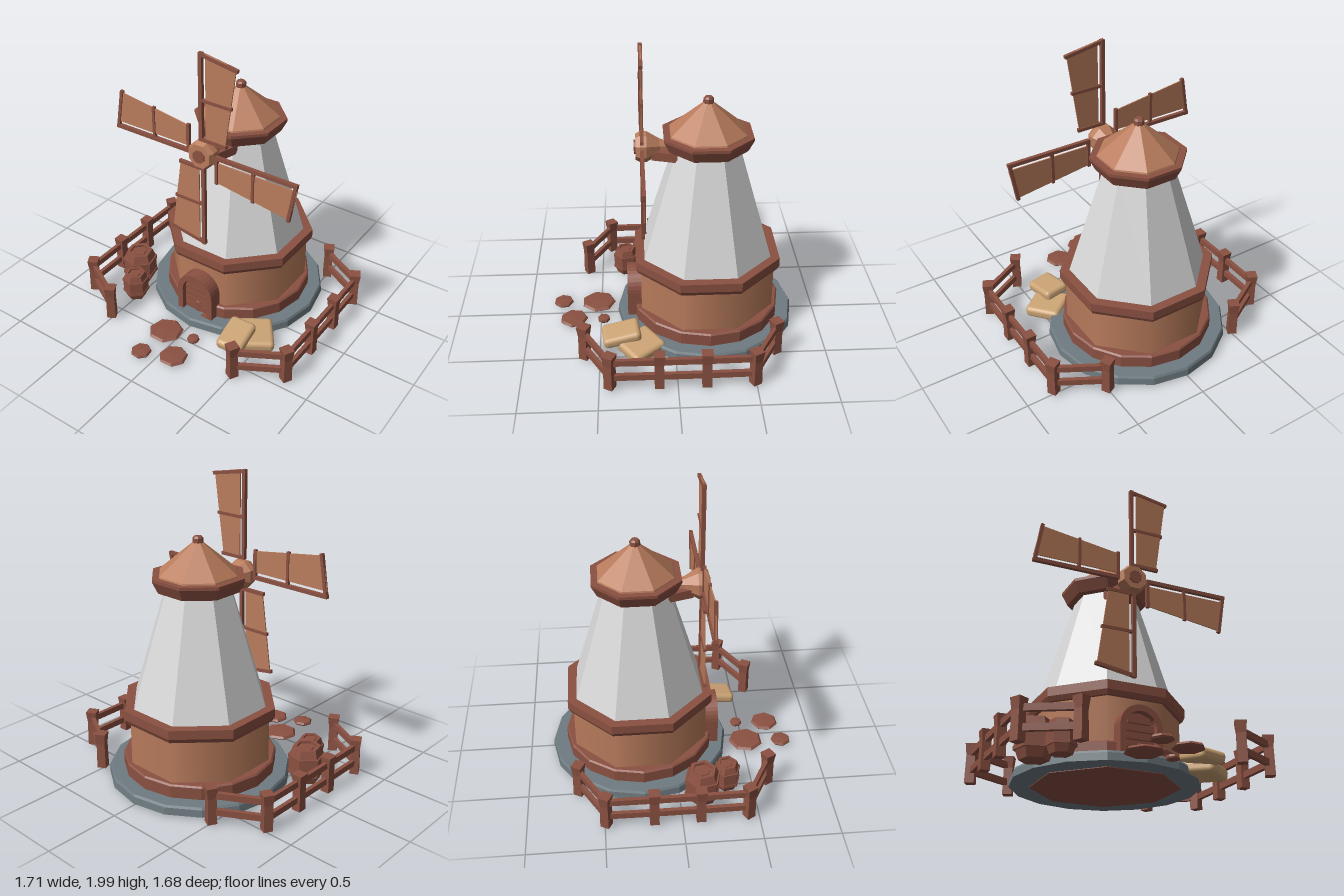
import * as THREE from 'three';
import { RoundedBoxGeometry } from 'three/addons/geometries/RoundedBoxGeometry.js';

const paint = (name, color) => {
  const m = new THREE.MeshStandardMaterial({ color });
  m.name = name;
  return m;
};

export function createModel() {
  const lightWood = paint('lightWood', 0xb97c5c);
  const darkWood = paint('darkWood', 0x8b5142);
  const stone = paint('stone', 0x6f7c82);
  const plaster = paint('plaster', 0xd9d9d9);
  const sackcloth = paint('sackcloth', 0xcca475);

  const model = new THREE.Group();
  model.name = 'windmill';

  const group = (name, parent = model) => {
    const g = new THREE.Group();
    g.name = name;
    parent.add(g);
    return g;
  };
  const add = (parent, name, geometry, material) => {
    const m = new THREE.Mesh(geometry, material);
    m.name = name;
    parent.add(m);
    return m;
  };
  // Solid of revolution; profile runs bottom to top as [radius, y]
  const turned = (profile, sides, turn = 0) =>
    new THREE.LatheGeometry(profile.map(([r, y]) => new THREE.Vector2(r, y)), sides, turn);
  const facet = (profile, sides, turn) => {
    const g = turned(profile, sides, turn).toNonIndexed();
    g.computeVertexNormals();
    return g;
  };
  // Octagon with flat sides forward; profile given as distance to the flats
  const octagon = (profile, make = facet) =>
    make(profile.map(([r, y]) => [r / Math.cos(Math.PI / 8), y]), 8, Math.PI / 8);
  const polygon = (points) => new THREE.Shape(points.map(([x, y]) => new THREE.Vector2(x, y)));
  const slab = (shape, depth) =>
    new THREE.ExtrudeGeometry(shape, { depth, bevelEnabled: false, curveSegments: 8 });
  // Beam between two points, aimed in its parent's own space
  const beam = (parent, name, a, b, w, h) => {
    const p = new THREE.Vector3(...a), q = new THREE.Vector3(...b);
    const m = new THREE.Mesh(new THREE.BoxGeometry(w, h, p.distanceTo(q)), darkWood);
    m.name = name;
    m.position.copy(p).lerp(q, 0.5);
    m.lookAt(q);
    parent.add(m);
  };

  // Tower
  const tower = group('tower');
  tower.position.z = -0.23;
  add(tower, 'stoneBase', facet([[0, 0.022], [0.61, 0.022], [0.606, 0.07], [0.597, 0.085], [0, 0.085]], 16), stone);
  add(tower, 'plinth', facet([[0.42, 0.08], [0.51, 0.08], [0.51, 0.165], [0.5, 0.175], [0.42, 0.175]], 16), darkWood);
  add(tower, 'floor', octagon([[0, 0.018], [0.445, 0.018], [0.445, 0.08]]), darkWood);
  add(tower, 'lowerWall', octagon([[0.445, 0.08], [0.445, 0.5]], turned), lightWood);
  add(tower, 'wallRing', octagon([[0.4, 0.465], [0.465, 0.465], [0.48, 0.495], [0.48, 0.555], [0.4, 0.555]]), darkWood);
  add(tower, 'plasterCone', octagon([[0.425, 0.54], [0.2, 1.33]]), plaster);
  add(tower, 'roofRing', octagon([[0, 1.31], [0.25, 1.31], [0.285, 1.385], [0.285, 1.405], [0.22, 1.405]]), darkWood);
  add(tower, 'roof', octagon([[0.245, 1.4], [0.24, 1.415], [0.022, 1.615]]), lightWood);
  add(tower, 'roofKnob', facet([[0.022, 1.595], [0.034, 1.605], [0.034, 1.635], [0.024, 1.647], [0, 1.647]], 8), darkWood);

  // Arched doorway
  const arch = (half, bottom, spring) => {
    const s = new THREE.Shape();
    s.moveTo(-half, bottom);
    s.lineTo(half, bottom);
    s.lineTo(half, spring);
    s.absarc(0, spring, half, 0, Math.PI, false);
    s.closePath();
    return s;
  };
  const door = group('door');
  const frame = arch(0.14, 0.08, 0.26);
  frame.holes.push(arch(0.1, 0.085, 0.26));
  add(door, 'doorFrame', slab(frame, 0.13), darkWood).position.z = 0.18;
  add(door, 'doorPanel', slab(arch(0.105, 0.083, 0.26), 0.08), darkWood).position.z = 0.18;
  for (let i = 0; i < 5; i++) {
    const plank = add(door, 'doorPlank', new THREE.BoxGeometry(i === 4 ? 0.15 : 0.198, 0.044, 0.02), darkWood);
    plank.position.set(0, 0.112 + i * 0.05, 0.266);
  }

  // Hub and its tapered support
  const hub = group('hub');
  hub.position.y = 1.308;
  const axle = facet([[0, 0.02], [0.035, 0.02], [0.05, 0.08], [0.1, 0.165], [0.1, 0.205], [0.085, 0.235], [0, 0.235]], 8, Math.PI / 8);
  add(hub, 'hubBody', axle.rotateX(Math.PI / 2), lightWood);
  const cap = facet([[0.047, 0.22], [0.045, 0.246], [0, 0.246]], 8, Math.PI / 8);
  add(hub, 'hubCap', cap.rotateX(Math.PI / 2), darkWood);
  const support = slab(polygon([[-0.11, -0.03], [0.11, -0.03], [0.062, 0.135], [-0.062, 0.135]]), 0.06);
  add(hub, 'axleSupport', support.rotateX(Math.PI / 2), darkWood).position.y = -0.01;

  // Four sails
  const sailShape = polygon([[0.028, 0.105], [0.172, 0.105], [0.248, 0.645], [0.028, 0.688]]);
  const sails = group('sails');
  sails.position.set(0, 1.308, 0.195);
  for (let i = 0; i < 4; i++) {
    const sail = group('sail', sails);
    sail.rotation.z = i * Math.PI / 2;
    add(sail, 'sailPanel', slab(sailShape, 0.008), lightWood).position.z = -0.004;
    beam(sail, 'spar', [-0.007, 0.1, 0], [-0.007, 0.69, 0], 0.025, 0.025);
    beam(sail, 'outerBar', [-0.02, 0.68, 0], [0.26, 0.634, 0], 0.022, 0.022);
    beam(sail, 'middleBar', [0, 0.378, 0], [0.22, 0.378, 0], 0.02, 0.02);
    beam(sail, 'innerBar', [-0.015, 0.107, 0], [0.182, 0.107, 0], 0.022, 0.022);
  }

  // Fences, mirrored left and right
  const stations = [[0.505, -0.66], [0.805, -0.49], [0.808, -0.182], [0.808, 0.118], [0.805, 0.43], [0.505, 0.597]];
  const turns = [0.5, 0.5, 0, 0, -0.5, -0.5];
  for (const side of [1, -1]) {
    const fence = group(side > 0 ? 'leftFence' : 'rightFence');
    stations.forEach(([x, z], i) => {
      const r = 0.043;
      const post = add(fence, 'fencePost',
        facet([[0, 0.022], [r, 0.022], [r * 0.93, 0.2], [r * 1.2, 0.275], [0, 0.275]], 4, Math.PI / 4), darkWood);
      post.position.set(side * x, 0, z);
      post.rotation.y = side * turns[i];
      if (i === 0) return;
      const [px, pz] = stations[i - 1];
      for (const y of [0.103, 0.217])
        beam(fence, 'fenceRail', [side * px, y, pz], [side * x, y, z], 0.027, 0.042);
    });
  }

  // Barrels with bands and a sunken lid
  const barrel = (x, z, r, h, turn) => {
    const b = group('barrel');
    b.position.set(x, 0.02, z);
    b.rotation.y = turn;
    add(b, 'barrelBody', facet([[0, 0], [r * 0.72, 0], [r * 0.95, h * 0.3], [r * 0.95, h * 0.7], [r * 0.75, h],
      [r * 0.55, h], [r * 0.55, h * 0.93], [0, h * 0.93]], 6), darkWood);
    for (const t of [0.28, 0.72])
      add(b, 'barrelBand', facet([[r * 0.85, h * (t - 0.05)], [r, h * (t - 0.05)], [r, h * (t + 0.05)], [r * 0.85, h * (t + 0.05)]], 6), darkWood);
    add(b, 'barrelLid', facet([[r * 0.4, h * 0.9], [r * 0.38, h * 0.96], [0, h * 0.96]], 6), darkWood);
  };
  barrel(-0.611, 0.148, 0.124, 0.245, 0.25);
  barrel(-0.512, 0.322, 0.093, 0.2, 0.2);

  // Sacks
  const sack = (w, h, d, pos, rot) => {
    const m = add(model, 'sack', new RoundedBoxGeometry(w, h, d, 3, 0.03), sackcloth);
    m.position.set(...pos);
    m.rotation.set(...rot, 'YXZ');
  };
  sack(0.235, 0.08, 0.255, [0.448, 0.062, 0.228], [0.08, 0.63, -0.06]);
  sack(0.185, 0.075, 0.255, [0.375, 0.11, 0.357], [0.18, 0.1, -0.08]);

  // Stepping stones
  for (const [x, z, r, n] of [[-0.09, 0.52, 0.12, 7], [0.11, 0.48, 0.043, 8], [0.1, 0.688, 0.097, 7], [-0.105, 0.77, 0.07, 7]]) {
    const s = add(model, 'steppingStone',
      facet([[0, 0.024], [r * 0.9, 0.024], [r, 0.034], [r * 0.88, 0.048], [0, 0.052]], n, x * 5), darkWood);
    s.position.set(x, 0, z);
  }
  return model;
}
